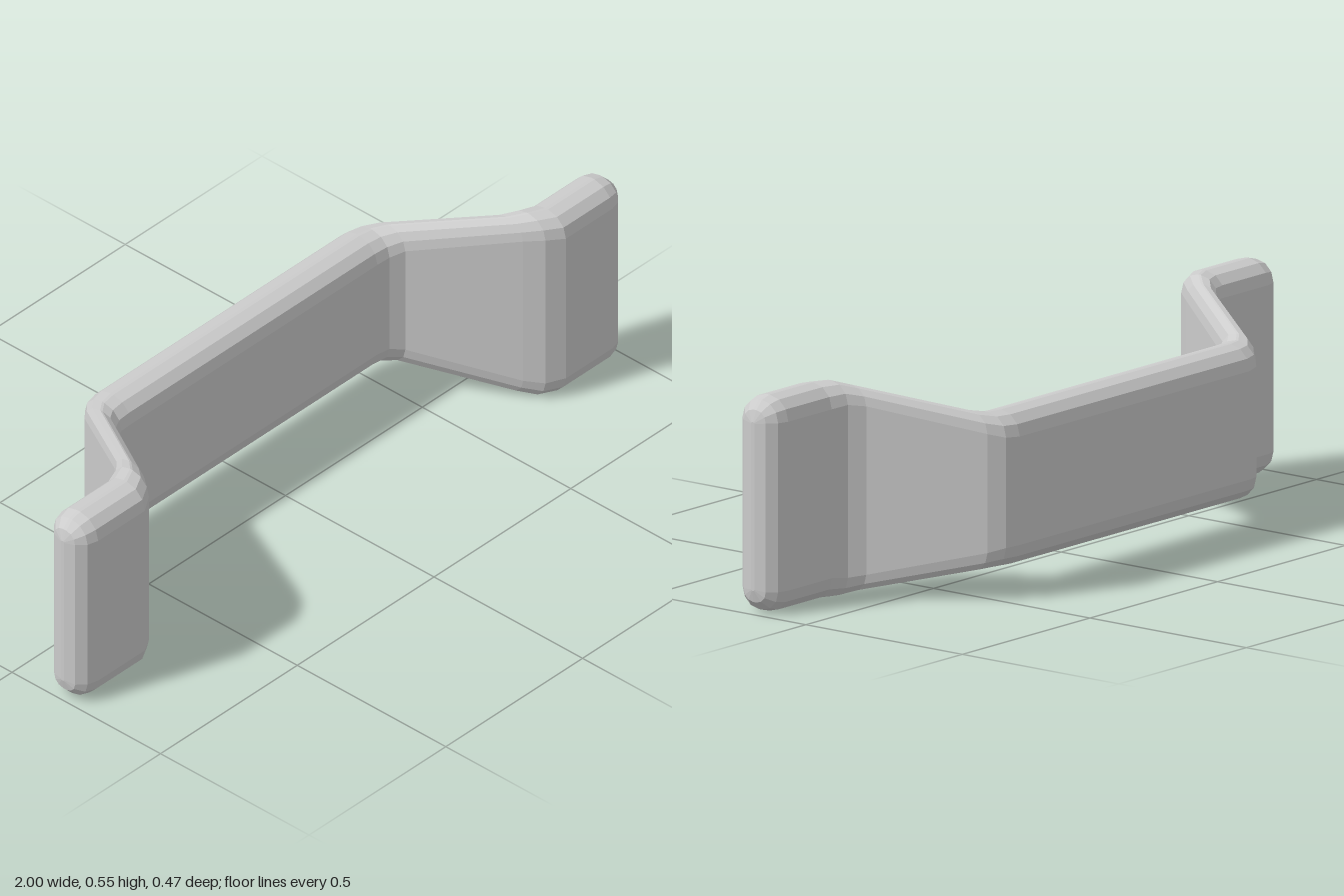
import * as THREE from 'three';

const MID_Y = 0.275;
const RADIUS = 0.06;
const CORNER_STEPS = 3;

// Upright rounded-rectangle section at one x, from back z to front z
function section({ x, front, back, half, inset = 0 }) {
  const a = (front - back) / 2 - inset;
  const h = half - inset;
  const r = Math.max(0.004, Math.min(RADIUS - inset, a - 0.004));
  const mid = (front + back) / 2;
  const ring = [];
  for (let corner = 0; corner < 4; corner++) {
    const sz = corner === 0 || corner === 3 ? 1 : -1;
    const sy = corner < 2 ? 1 : -1;
    for (let k = 0; k <= CORNER_STEPS; k++) {
      const t = (corner + k / CORNER_STEPS) * Math.PI / 2;
      ring.push([x, MID_Y + sy * (h - r) + r * Math.sin(t), mid + sz * (a - r) + r * Math.cos(t)]);
    }
  }
  return ring;
}

// Skin over successive sections running toward +x, closed at both ends
function loft(rings) {
  const n = rings[0].length;
  const pos = rings.flat(2);
  const index = [];
  for (let i = 0; i < rings.length - 1; i++) {
    for (let j = 0; j < n; j++) {
      const a = i * n + j, b = i * n + (j + 1) % n;
      index.push(a, a + n, b + n, a, b + n, b);
    }
  }
  const last = (rings.length - 1) * n;
  for (let j = 1; j < n - 1; j++) {
    index.push(0, j, j + 1);
    index.push(last, last + j + 1, last + j);
  }
  const g = new THREE.BufferGeometry();
  g.setAttribute('position', new THREE.Float32BufferAttribute(pos, 3));
  g.setIndex(index);
  g.computeVertexNormals();
  return g;
}

export function createModel() {
  // Half of the handle, from the grip out to the mounting pad
  const half = [
    { x: 0.45, front: -0.105, back: -0.235, half: 0.198 },
    { x: 0.49, front: -0.101, back: -0.224, half: 0.198 },
    { x: 0.525, front: -0.08, back: -0.193, half: 0.204 },
    { x: 0.69, front: 0.165, back: 0.06, half: 0.263 },
    { x: 0.725, front: 0.208, back: 0.09, half: 0.275 },
    { x: 0.77, front: 0.235, back: 0.105, half: 0.275 },
  ];
  // Rounded outer end of the pad
  for (let k = 0; k <= CORNER_STEPS; k++) {
    const t = (k / CORNER_STEPS) * Math.PI / 2;
    half.push({
      x: 0.94 + RADIUS * Math.sin(t), front: 0.235, back: 0.105, half: 0.275,
      inset: RADIUS * (1 - Math.cos(t)),
    });
  }
  const mirrored = half.map((s) => ({ ...s, x: -s.x })).reverse();

  const material = new THREE.MeshStandardMaterial({ color: 0xcccccc, flatShading: true });
  const handle = new THREE.Mesh(loft([...mirrored, ...half].map(section)), material);
  handle.name = 'pullHandle';

  const group = new THREE.Group();
  group.name = 'handle';
  group.add(handle);
  return group;
}
